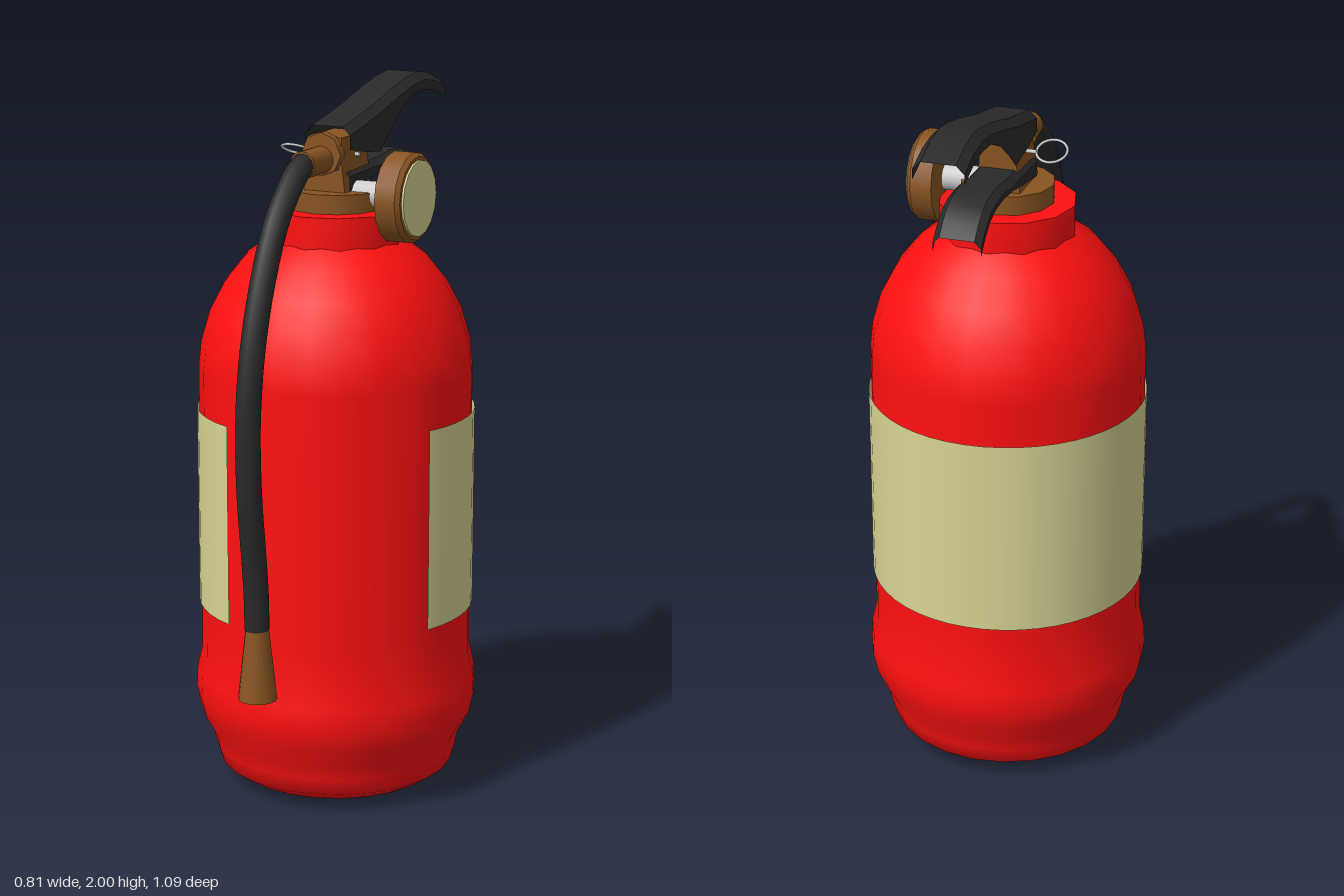
import * as THREE from 'three';
import { toCreasedNormals } from 'three/addons/utils/BufferGeometryUtils.js';

const material = (color, double = false) => new THREE.MeshStandardMaterial({
  color, side: double ? THREE.DoubleSide : THREE.FrontSide,
});
const V = (x, y, z) => new THREE.Vector3(x, y, z);

// Lathe from [radius, y] pairs
const lathe = (points, sides, start = 0, length = Math.PI * 2) =>
  new THREE.LatheGeometry(points.map(p => new THREE.Vector2(...p)), sides, start, length);

// Pressed sheet lever: folded cross-sections [z, top, bottom] joined along z
function lever(stations, left, right, bevel) {
  const positions = [], index = [], n = 6;
  for (const [z, top, bottom] of stations) {
    const c = Math.min(bevel, (top - bottom) * 0.7);
    positions.push(
      left, bottom, z, left, top - c, z, left + bevel, top, z,
      right - bevel, top, z, right, top - c, z, right, bottom, z);
  }
  for (let i = 0; i < stations.length - 1; i++) {
    for (let j = 0; j < n - 1; j++) {
      const a = i * n + j, b = a + 1, c = a + n, d = c + 1;
      index.push(a, b, c, b, d, c);
    }
  }
  const g = new THREE.BufferGeometry();
  g.setAttribute('position', new THREE.Float32BufferAttribute(positions, 3));
  g.setIndex(index);
  return toCreasedNormals(g, 0.6);
}

export function createModel() {
  const model = new THREE.Group();
  model.name = 'fireExtinguisher';
  const red = material(0xff1010);
  const black = material(0x2a2a2b);
  const blackSheet = material(0x2a2a2b, true);
  const brass = material(0x8a5522);
  const paper = material(0xd8d494, true);
  const steel = material(0xcccccc);

  const add = (name, geometry, mat, x = 0, y = 0, z = 0) => {
    const mesh = new THREE.Mesh(geometry, mat);
    mesh.name = name;
    mesh.position.set(x, y, z);
    model.add(mesh);
    return mesh;
  };

  // Tank with a bulging foot and a domed shoulder
  add('tank', lathe([
    [0, 0.005], [0.18, 0.018], [0.29, 0.03], [0.335, 0.06], [0.35, 0.11],
    [0.358, 0.15], [0.39, 0.21], [0.403, 0.27], [0.4, 0.33], [0.386, 0.39],
    [0.385, 0.5], [0.385, 1.22], [0.378, 1.29], [0.352, 1.38], [0.31, 1.46],
    [0.25, 1.535], [0.18, 1.585],
  ], 24), red);

  // Wrap-around label, open towards the front
  add('label', lathe([[0.391, 0.535], [0.391, 1.105]], 36,
    THREE.MathUtils.degToRad(67.5), THREE.MathUtils.degToRad(270)), paper);

  // Neck and valve
  add('neck', toCreasedNormals(new THREE.CylinderGeometry(0.19, 0.19, 0.1, 12), 0.6),
    red, 0, 1.617, 0).rotation.y = Math.PI / 2;
  add('collar', new THREE.CylinderGeometry(0.13, 0.13, 0.06, 12), brass, 0, 1.69, 0);

  const valveShape = new THREE.Shape();
  [[-0.065, 1.7], [0.065, 1.7], [0.052, 1.8], [0.052, 1.87], [-0.052, 1.87], [-0.052, 1.8]]
    .forEach(([x, y], i) => (i ? valveShape.lineTo(x, y) : valveShape.moveTo(x, y)));
  add('valveBody', new THREE.ExtrudeGeometry(valveShape, { depth: 0.16, bevelEnabled: false }),
    brass, 0, 0, -0.09);

  // Hose fitting at the front of the valve
  const nut = add('hoseNut', new THREE.CylinderGeometry(0.06, 0.06, 0.03, 8), brass, 0, 1.825, 0.076);
  const fitting = add('hoseFitting', new THREE.CylinderGeometry(0.038, 0.038, 0.125, 14),
    brass, 0, 1.81, 0.138);
  nut.rotation.x = fitting.rotation.x = Math.PI / 2;

  // Hose and nozzle
  const hosePath = new THREE.CatmullRomCurve3([
    V(0, 1.812, 0.17), V(0, 1.805, 0.21), V(0, 1.77, 0.26), V(0, 1.68, 0.345),
    V(0, 1.53, 0.425), V(0, 1.36, 0.482), V(0, 1.18, 0.51), V(0, 0.98, 0.508),
    V(0, 0.8, 0.487), V(0, 0.68, 0.474), V(0, 0.58, 0.471),
  ]);
  add('hose', new THREE.TubeGeometry(hosePath, 40, 0.034, 12), black);
  add('nozzle', new THREE.CylinderGeometry(0.03, 0.054, 0.22, 16), brass, 0, 0.49, 0.47);

  // Squeeze lever and carrying handle
  add('squeezeLever', lever([
    [0.07, 1.9, 1.84], [-0.03, 1.92, 1.82], [-0.12, 1.94, 1.81], [-0.18, 1.957, 1.86],
    [-0.25, 1.975, 1.91], [-0.33, 1.992, 1.945], [-0.4, 2.0, 1.95],
    [-0.47, 1.99, 1.94], [-0.545, 1.962, 1.913],
  ], -0.06, 0.078, 0.022), blackSheet);
  add('carryHandle', lever([
    [0.05, 1.78, 1.72], [-0.08, 1.785, 1.74], [-0.16, 1.786, 1.755], [-0.24, 1.796, 1.763],
    [-0.31, 1.793, 1.758], [-0.36, 1.778, 1.742], [-0.4, 1.75, 1.712], [-0.435, 1.715, 1.675],
  ], -0.066, 0.066, 0.018), blackSheet);

  // Pressure gauge on its stem
  const gauge = new THREE.Group();
  gauge.name = 'pressureGauge';
  gauge.position.set(0, 1.71, 0);
  gauge.rotation.z = -Math.PI / 2;
  const gaugePart = (name, r1, r2, from, to, mat) => {
    const mesh = new THREE.Mesh(new THREE.CylinderGeometry(r1, r2, to - from, 16), mat);
    mesh.name = name;
    mesh.position.y = (from + to) / 2;
    gauge.add(mesh);
  };
  gaugePart('gaugeStem', 0.037, 0.037, 0.04, 0.19, steel);
  gaugePart('gaugeCase', 0.125, 0.125, 0.178, 0.238, brass);
  gaugePart('gaugeRim', 0.115, 0.125, 0.238, 0.25, brass);
  gaugePart('gaugeFace', 0.105, 0.105, 0.24, 0.256, paper);
  model.add(gauge);

  // Safety pin with its pull ring
  const ring = add('pinRing', new THREE.TorusGeometry(0.042, 0.004, 6, 28), steel, -0.125, 1.818, -0.005);
  ring.rotation.x = Math.PI / 2 - 0.45;
  add('safetyPin', new THREE.CylinderGeometry(0.006, 0.006, 0.15, 8),
    steel, -0.01, 1.815, -0.015).rotation.z = Math.PI / 2;

  return model;
}
